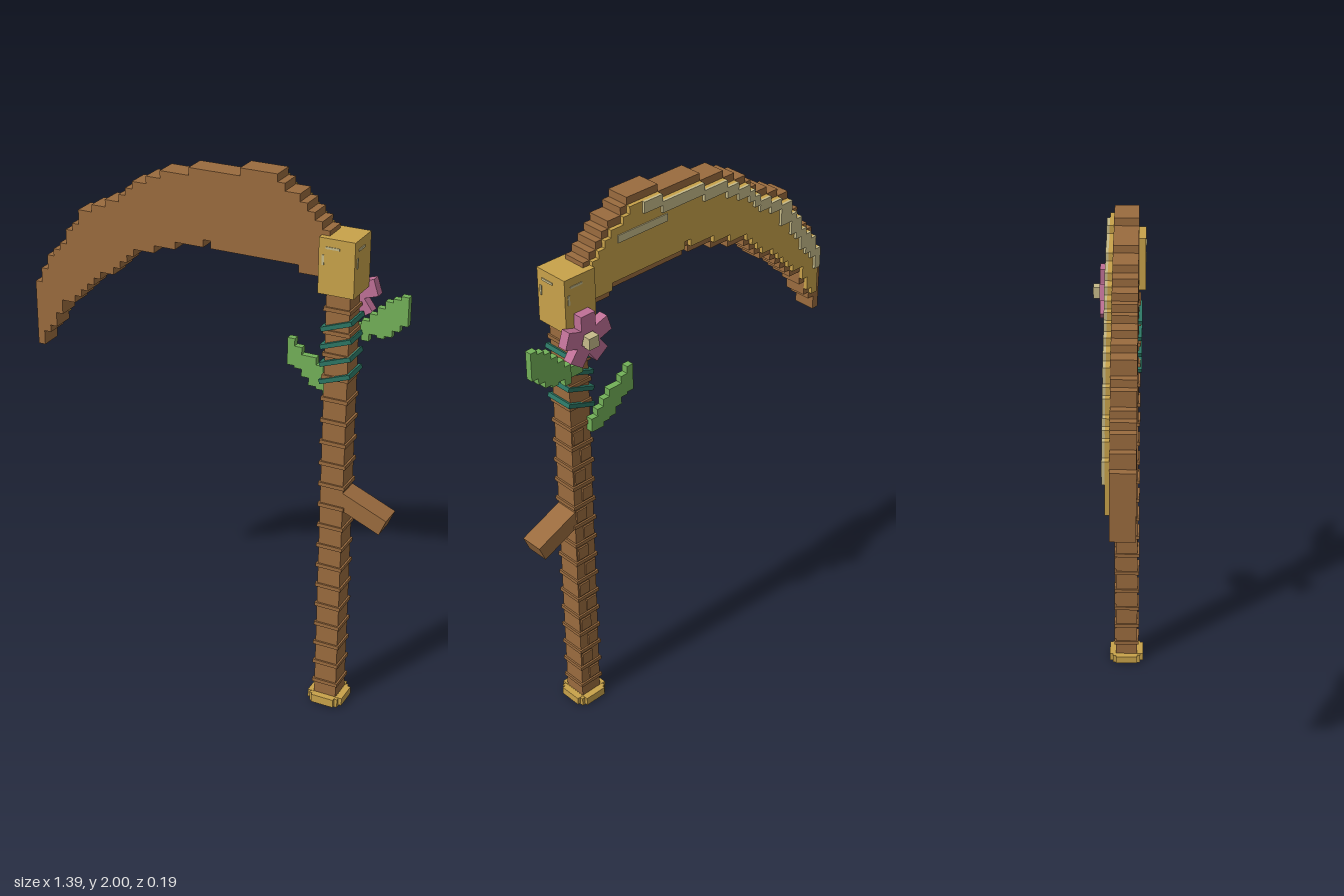
import * as THREE from 'three';

const mat = (name, color) => {
  const m = new THREE.MeshStandardMaterial({ color });
  m.name = name;
  return m;
};

export function createModel() {
  const root = new THREE.Group();
  root.name = 'scythe';
  const wood = mat('wood brown', 0x9a6b3e);
  const gold = mat('gold', 0xc8a24a);
  const pale = mat('pale edge', 0xc6bb8a);
  const leafGreen = mat('leaf green', 0x72b058);
  const vineTeal = mat('vine teal', 0x2b7563);
  const pink = mat('petal pink', 0xbf7096);

  const add = (name, geo, material, parent = root) => {
    const m = new THREE.Mesh(geo, material);
    m.name = name;
    parent.add(m);
    return m;
  };
  const box = (name, material, w, h, d, x, y, z, rz = 0, parent = root) => {
    const m = add(name, new THREE.BoxGeometry(w, h, d), material, parent);
    m.position.set(x, y, z);
    m.rotation.z = rz;
    return m;
  };

  const CELL = 0.0272, X0 = -0.7, HX = 0.478, HZ = 0.0275;

  // Value of a stepped profile [[startColumn, row], ...] at a column
  const at = (steps, c) => {
    let row = steps[0][1];
    for (const [start, r] of steps) if (c >= start) row = r;
    return row;
  };

  // Pixel-stepped slab between two row functions, rows counted down from yTop
  const slab = (name, material, top, bottom, c0, c1, z0, z1, x0 = X0, yTop = 2) => {
    const pts = [];
    const put = (c, r) => pts.push(new THREE.Vector2(x0 + c * CELL, yTop - r * CELL));
    for (let c = c0; c < c1; c++) { put(c, bottom(c)); put(c + 1, bottom(c)); }
    for (let c = c1 - 1; c >= c0; c--) { put(c + 1, top(c)); put(c, top(c)); }
    // Drop repeated and collinear points
    const clean = pts.filter((p, i) => {
      const a = pts[(i + pts.length - 1) % pts.length], b = pts[(i + 1) % pts.length];
      return Math.abs((p.x - a.x) * (b.y - p.y) - (p.y - a.y) * (b.x - p.x)) > 1e-9;
    });
    const geo = new THREE.ExtrudeGeometry(new THREE.Shape(clean), { depth: z1 - z0, bevelEnabled: false });
    geo.translate(0, 0, z0);
    return add(name, geo, material);
  };

  // Blade: wooden body, gold face on the back, pale cutting line and shine
  const topSteps = [[0, 20], [1, 18], [2, 16], [3, 15], [4, 14], [5, 12], [6, 11], [7, 9], [9, 8], [11, 7],
    [13, 6], [14, 5], [15, 4], [17, 3], [19, 2], [23, 1], [30, 0], [35, 1], [36, 2], [38, 3], [39, 4], [40, 5], [41, 6]];
  const lowSteps = [[0, 29], [1, 27], [2, 26], [3, 24], [4, 22], [6, 21], [7, 20], [8, 19], [9, 18], [10, 17],
    [12, 16], [13, 15], [14, 14], [15, 13], [18, 12], [21, 11], [25, 10], [26, 11], [38, 12]];
  const top = c => at(topSteps, c), low = c => at(lowSteps, c);
  slab('bladeBody', wood, top, low, 0, 42, -0.015, 0.07);
  slab('bladeFace', gold, c => top(c) + 1, c => low(c) - 1, 1, 42, -0.03, -0.015);
  slab('bladeEdge', pale, c => top(c) + 1, c => top(c) + (c < 9 ? 4 : 2.5), 1, 33, -0.04, -0.03);
  slab('bladeShine', pale, () => 4, () => 5, 29, 37, -0.034, -0.03);

  // Haft with bark rings and raised bark on the back
  box('haft', wood, 0.085, 1.63, 0.085, HX, 0.82, HZ);
  for (let i = 0; i < 19; i++) {
    const y = 0.09 + i * 0.082;
    box('barkRing', wood, 0.098, 0.014, 0.098, HX, y, HZ);
    if (i < 14) box('barkPatch', wood, 0.045, 0.05, 0.006, HX + (i % 2 ? 0.015 : -0.015), y + 0.04, -0.018);
  }

  // Cross-shaped pommel
  box('pommel', gold, 0.135, 0.03, 0.085, HX, 0.02, HZ);
  box('pommel', gold, 0.087, 0.032, 0.135, HX, 0.02, HZ);
  box('pommelCore', gold, 0.11, 0.034, 0.11, HX, 0.017, HZ);

  // Head block with small glints on the front and sides
  box('headBlock', gold, 0.128, 0.195, 0.132, HX, 1.7225, HZ);
  for (let i = 0; i < 4; i++) {
    const side = new THREE.Group();
    side.name = 'headGlint';
    side.position.set(HX, 1.7225, HZ);
    side.rotation.y = i * Math.PI / 2;
    root.add(side);
    box('glint', pale, 0.05, 0.008, 0.003, -0.015, 0.065, 0.0665, 0, side);
    box('glint', pale, 0.008, 0.035, 0.003, -0.048, 0.022, 0.0665, 0, side);
  }

  // Side branch
  box('branch', wood, 0.21, 0.064, 0.085, 0.575, 0.832, HZ, -0.4);

  // Vine wound around the haft
  for (let i = 0; i < 4; i++)
    box('vine', vineTeal, 0.118, 0.016, 0.108, HX, 1.32 + i * 0.064, HZ, 0.35);

  // Leaves
  const leaf = (name, tops, lows, x0, yTop) =>
    slab(name, leafGreen, c => tops[c], c => lows[c], 0, tops.length, -0.04, -0.015, x0, yTop);
  leaf('leftLeaf', [4, 3, 2, 1, 0.5, 0], [6.7, 5.7, 6, 5.6, 4.7, 3.8], 0.53, 1.62);
  leaf('rightLeaf', [0, 1, 2, 2, 3, 4, 5], [3.7, 4, 5, 6, 6.3, 6.9, 6.9], 0.26, 1.393);
  box('leafStem', leafGreen, 0.06, 0.04, 0.02, 0.505, 1.475, -0.025);

  // Five-petal flower on the back
  const flower = new THREE.Group();
  flower.name = 'flower';
  flower.position.set(HX, 1.595, -0.055);
  root.add(flower);
  for (let i = 0; i < 5; i++) {
    const a = Math.PI / 2 + i * Math.PI * 0.4;
    box('petal', pink, 0.068, 0.06, 0.036, Math.cos(a) * 0.06, Math.sin(a) * 0.06, 0, a, flower);
  }
  box('flowerBase', pink, 0.06, 0.06, 0.045, 0, 0, 0.012, 0, flower);
  box('flowerCentre', pale, 0.042, 0.042, 0.035, 0, 0, -0.026, 0, flower);

  return root;
}
